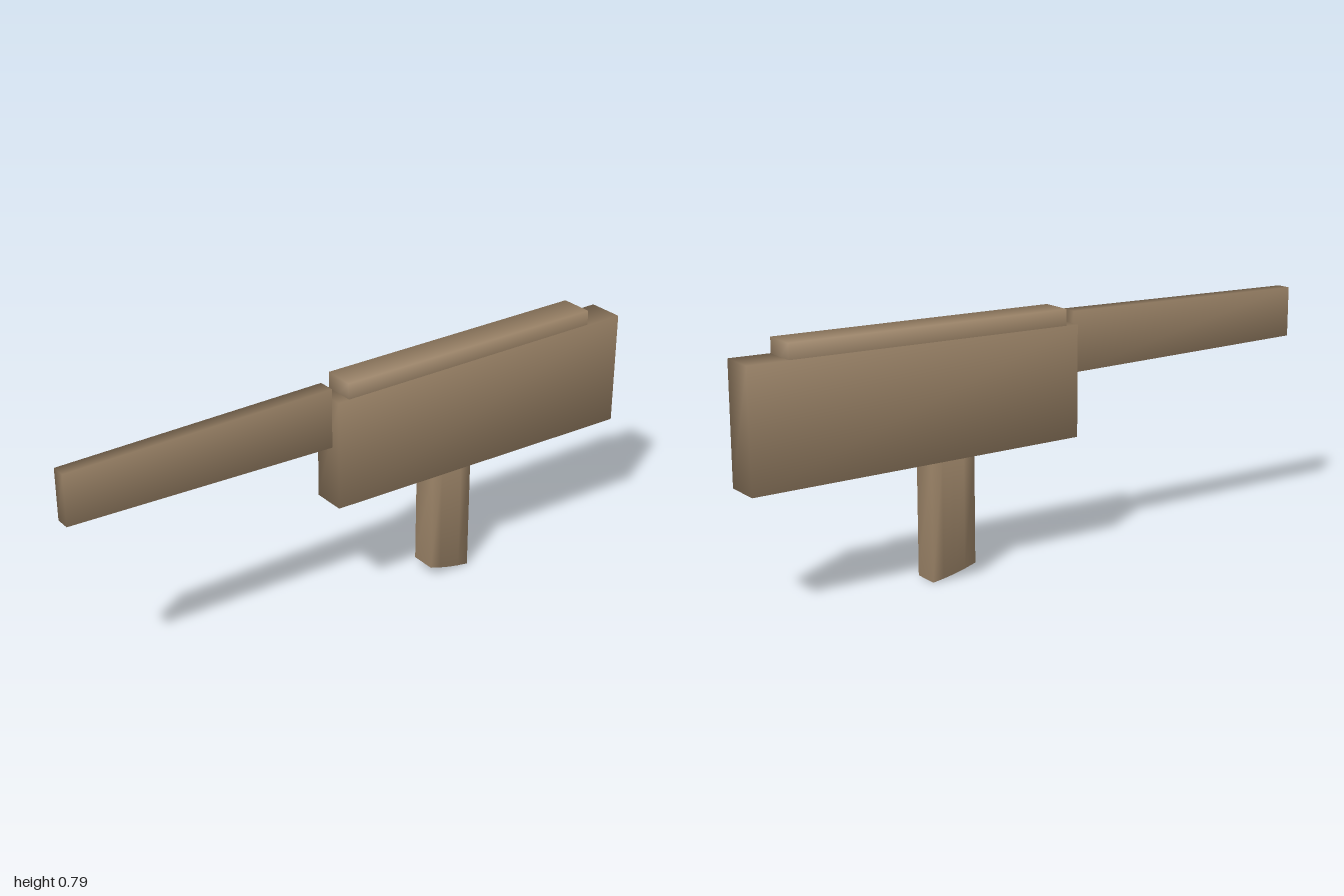
import * as THREE from 'three';
import { mergeVertices } from 'three/addons/utils/BufferGeometryUtils.js';

const material = new THREE.MeshStandardMaterial({ color: 0x9c8468 });

// Tapered block along z; each end is [z, halfWidth, bottom, top].
// Corners share their normals, so the shading runs smoothly round them.
function block(name, front, back, segments = 1, sag = 0) {
  const box = new THREE.BoxGeometry(1, 1, 1, 1, 1, segments);
  box.deleteAttribute('uv');
  box.deleteAttribute('normal');
  const geometry = mergeVertices(box);
  const p = geometry.attributes.position;
  for (let i = 0; i < p.count; i++) {
    const t = 0.5 - p.getZ(i);
    const [z, halfWidth, bottom, top] = front.map((v, k) => THREE.MathUtils.lerp(v, back[k], t));
    const low = bottom - sag * 4 * t * (1 - t);
    p.setXYZ(i, Math.sign(p.getX(i)) * halfWidth, p.getY(i) > 0 ? top : low, z);
  }
  geometry.computeVertexNormals();
  const mesh = new THREE.Mesh(geometry, material);
  mesh.name = name;
  return mesh;
}

export function createModel() {
  const model = new THREE.Group();
  model.name = 'blaster';
  model.add(
    block('body', [0.11, 0.055, 0.377, 0.73], [-1, 0.06, 0.367, 0.74]),
    block('topRail', [0.07, 0.052, 0.68, 0.782], [-0.87, 0.055, 0.68, 0.787]),
    block('barrel', [1, 0.024, 0.59, 0.753], [0.115, 0.028, 0.575, 0.767]),
    // Grip with a gently curved underside
    block('grip', [-0.26, 0.042, 0.035, 0.385], [-0.41, 0.042, 0, 0.385], 4, 0.004),
  );
  return model;
}
